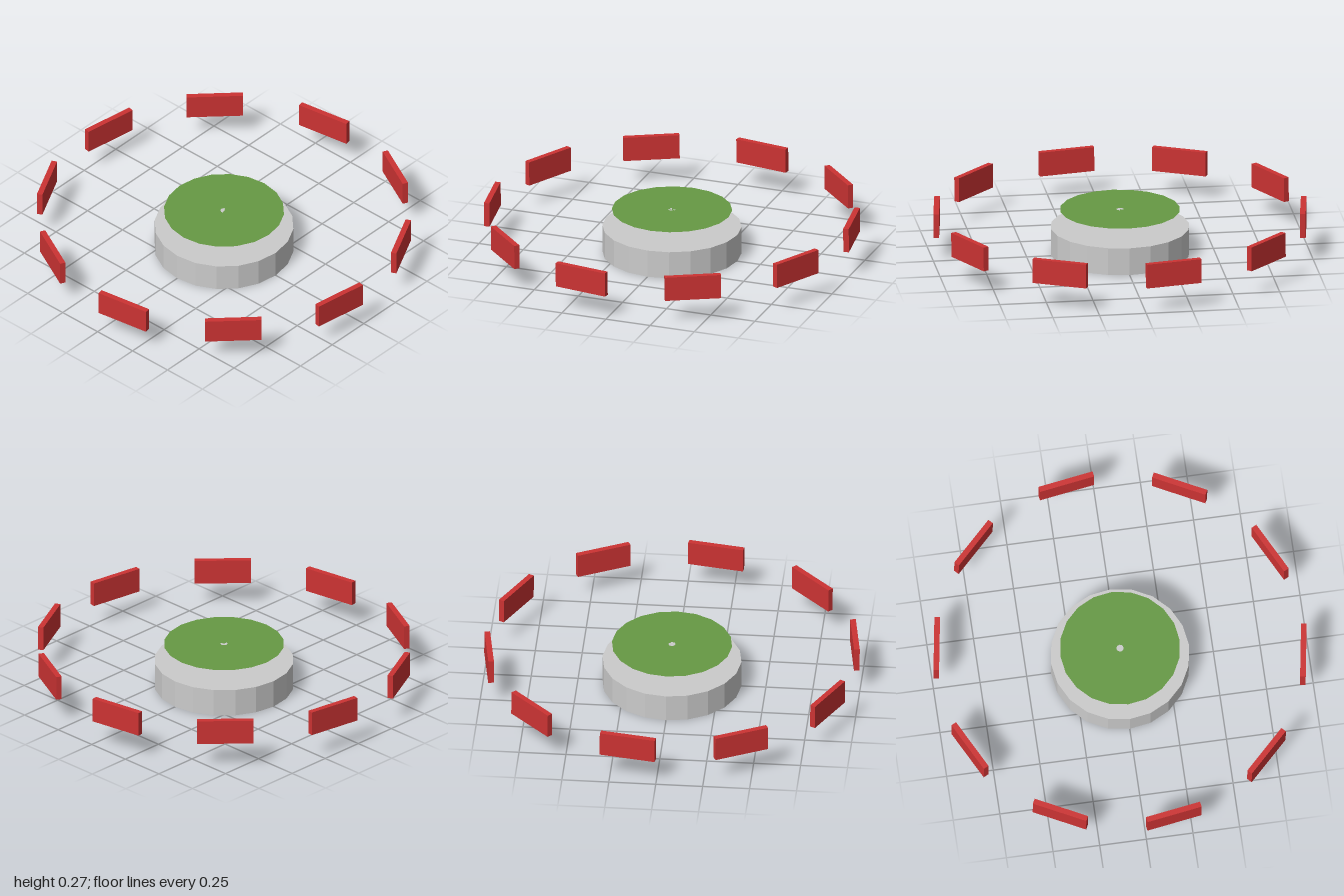
import * as THREE from 'three';

const SIDES = 20;

function material(color, side = THREE.FrontSide) {
  return new THREE.MeshStandardMaterial({ color, flatShading: true, side });
}

function addMesh(parent, name, geometry, mat) {
  const mesh = new THREE.Mesh(geometry, mat);
  mesh.name = name;
  parent.add(mesh);
  return mesh;
}

export function createModel() {
  const model = new THREE.Group();
  const grey = material(0xcccccc, THREE.DoubleSide);
  const green = material(0x669944, THREE.DoubleSide);
  const red = material(0xcc3333);

  // Base: a wall with a lid, open underneath
  const base = new THREE.Group();
  base.name = 'base';
  model.add(base);
  const wall = addMesh(base, 'baseWall', new THREE.CylinderGeometry(0.37, 0.37, 0.15, SIDES, 1, true), grey);
  wall.position.y = 0.075;
  const lid = addMesh(base, 'baseLid', new THREE.CircleGeometry(0.37, SIDES), grey);
  lid.rotation.x = -Math.PI / 2;
  lid.position.y = 0.15;

  // Thin pivot carrying the disc, its end just below the lid
  const pivot = addMesh(model, 'pivot', new THREE.CylinderGeometry(0.02, 0.02, 0.134, 8), grey);
  pivot.position.y = 0.177;

  // Flat disc above the base
  const disc = addMesh(model, 'topDisc', new THREE.CircleGeometry(0.32, SIDES), green);
  disc.rotation.x = -Math.PI / 2;
  disc.position.y = 0.244;

  // Ring of ten upright panels, leaning slightly towards front left
  const ring = new THREE.Group();
  ring.name = 'panelRing';
  ring.position.y = 0.2;
  ring.rotation.set(0.0055, 0, -0.0055);
  model.add(ring);
  const panelGeometry = new THREE.BoxGeometry(0.3, 0.133, 0.03);
  for (let i = 0; i < 10; i++) {
    const angle = THREE.MathUtils.degToRad(9 + 36 * i);
    const panel = addMesh(ring, 'panel', panelGeometry, red);
    panel.position.set(Math.sin(angle) * 0.973, 0, Math.cos(angle) * 0.973);
    panel.rotation.y = angle;
  }
  return model;
}
